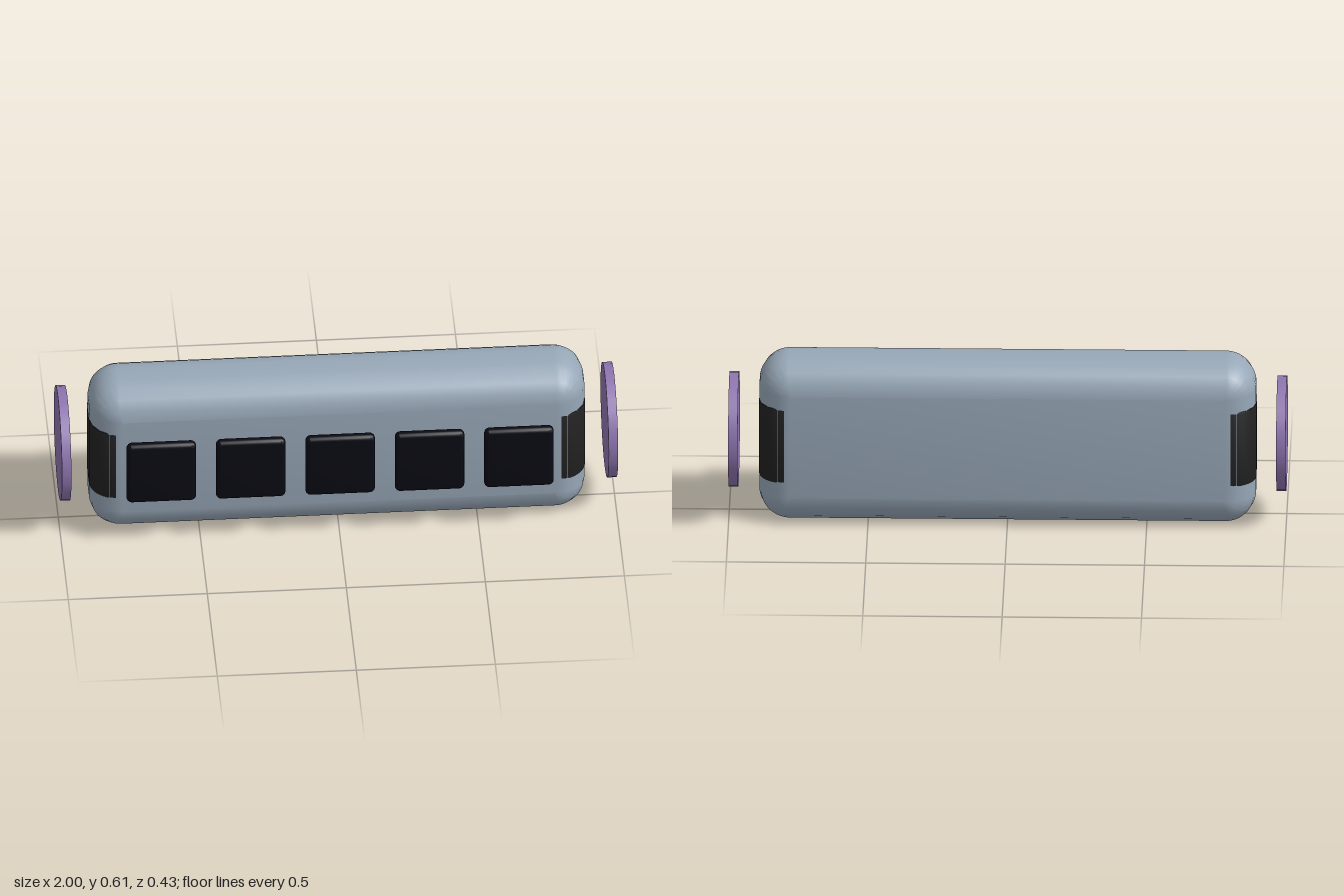
import * as THREE from 'three';
import { toCreasedNormals } from 'three/addons/utils/BufferGeometryUtils.js';

const material = (color) => new THREE.MeshStandardMaterial({ color });

// Rounded block centred on its origin: r rounds the outline, bevel rounds the front and back rims
function slab(w, h, d, r, bevel, segments) {
  const c = Math.max(r - bevel, 0.001);
  const x = w / 2 - bevel - c;
  const y = h / 2 - bevel - c;
  const q = Math.PI / 2;
  const shape = new THREE.Shape();
  shape.absarc(x, y, c, 0, q);
  shape.absarc(-x, y, c, q, 2 * q);
  shape.absarc(-x, -y, c, 2 * q, 3 * q);
  shape.absarc(x, -y, c, 3 * q, 4 * q);
  const geometry = new THREE.ExtrudeGeometry(shape, {
    depth: d - 2 * bevel,
    bevelEnabled: true,
    bevelSize: bevel,
    bevelThickness: bevel,
    bevelSegments: segments,
    curveSegments: 8,
  });
  geometry.translate(0, 0, bevel - d / 2);
  return toCreasedNormals(geometry, 0.6);
}

export function createModel() {
  const model = new THREE.Group();
  const add = (name, geometry, mat, x, y, z) => {
    const mesh = new THREE.Mesh(geometry, mat);
    mesh.name = name;
    mesh.position.set(x, y, z);
    model.add(mesh);
    return mesh;
  };
  const midZ = -0.0155;

  // Long rounded housing
  add('housing', slab(1.782, 0.612, 0.295, 0.11, 0.11, 4), material(0x98a8b8), 0, 0.308, midZ);

  // Row of dark display tiles floating in front of the housing
  const tileGeometry = slab(0.25, 0.256, 0.038, 0.0195, 0.0185, 5);
  const tileMaterial = material(0x0a0a14);
  for (let i = -2; i <= 2; i++) {
    add('displayTile', tileGeometry, tileMaterial, i * 0.3215, 0.327, 0.19);
  }

  // Dark pads wrapping each end, and the round end knobs
  const padGeometry = slab(0.202, 0.288, 0.288, 0.1, 0.006, 2).rotateX(Math.PI / 2);
  const knobGeometry = new THREE.CylinderGeometry(0.2075, 0.2075, 0.034, 32).rotateZ(Math.PI / 2);
  const padMaterial = material(0x222222);
  const knobMaterial = material(0x8f76b0);
  for (const [side, s] of [['left', 1], ['right', -1]]) {
    add(side + 'EndPad', padGeometry, padMaterial, s * 0.791, 0.31, midZ);
    add(side + 'Knob', knobGeometry, knobMaterial, s * 0.983, 0.32, -0.0165);
  }

  return model;
}
